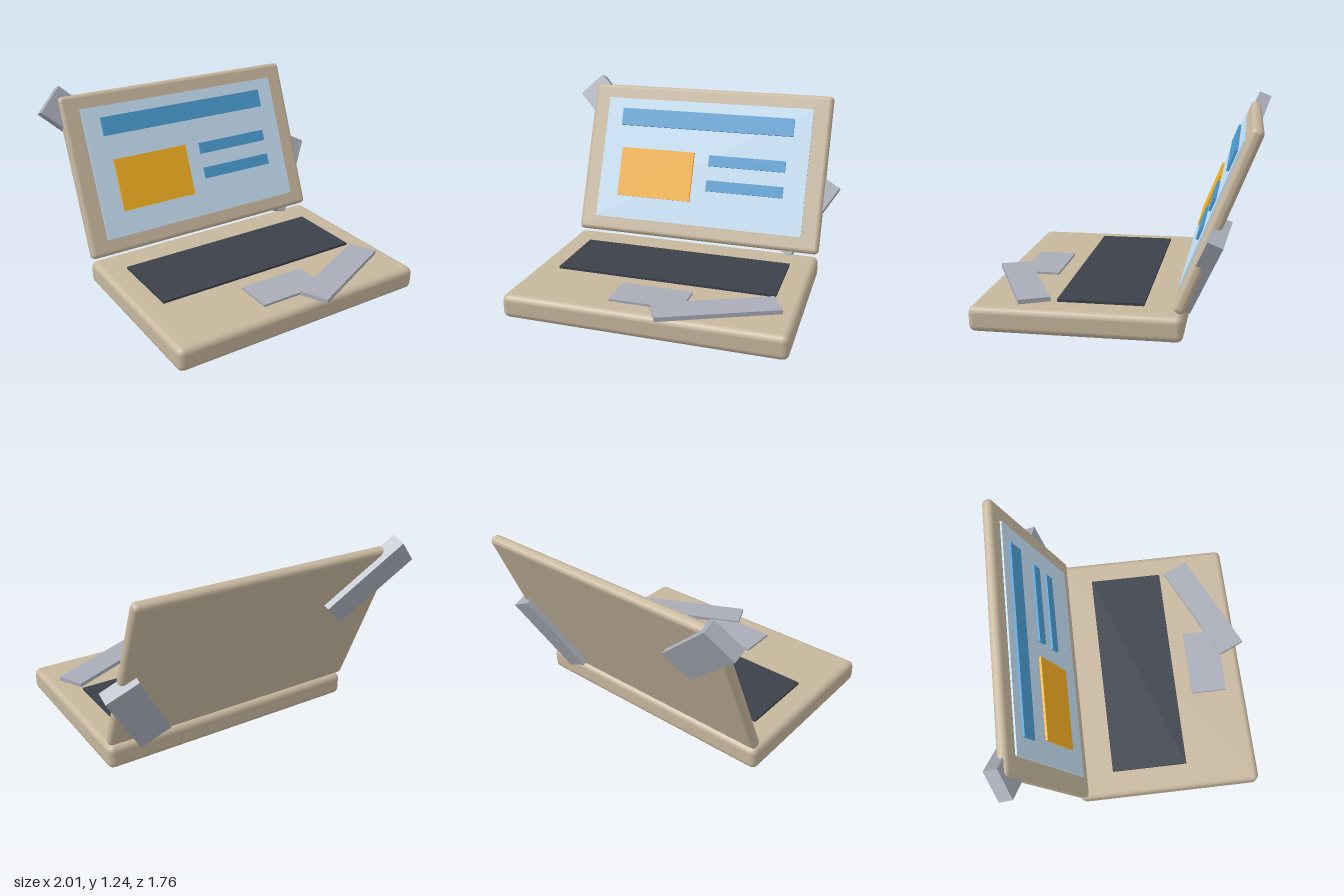
import * as THREE from 'three';
import { RoundedBoxGeometry } from 'three/addons/geometries/RoundedBoxGeometry.js';

const mat = (color) => new THREE.MeshStandardMaterial({ color });

export function createModel() {
  const casing = mat(0xc6b69d), glass = mat(0xc4def2), blue = mat(0x4a9ad0);
  const orange = mat(0xf2ae22), dark = mat(0x3b404a), grey = mat(0xa9adb8);

  // Adds a box-like part at a position, turned about one axis if needed
  const add = (parent, name, geometry, material, x, y, z) => {
    const mesh = new THREE.Mesh(geometry, material);
    mesh.name = name;
    mesh.position.set(x, y, z);
    parent.add(mesh);
    return mesh;
  };
  const box = (w, h, d) => new THREE.BoxGeometry(w, h, d);

  const model = new THREE.Group();
  model.name = 'laptop';
  const body = new THREE.Group();
  body.name = 'body';
  body.position.set(0.08, 0, 0.2);
  body.rotation.y = 0.1;
  model.add(body);

  // Lower half with keyboard, trackpad and a loose strip of tape
  add(body, 'base', new RoundedBoxGeometry(1.74, 0.15, 1.21, 2, 0.04), casing, 0, 0.075, 0);
  add(body, 'keyboard', box(1.42, 0.03, 0.5), dark, 0, 0.15, -0.123);
  add(body, 'trackpad', box(0.447, 0.03, 0.24), grey, 0, 0.15, 0.358);
  add(body, 'baseTape', box(0.74, 0.027, 0.185), grey, 0.412, 0.1625, 0.406).rotation.y = 0.44;

  // Lid leaning back; its parts are laid out in the lid's own plane
  const lid = new THREE.Group();
  lid.name = 'lid';
  lid.position.set(0, 0.67, -0.774);
  lid.rotation.x = -0.384;
  body.add(lid);
  add(lid, 'lidShell', new RoundedBoxGeometry(1.74, 1.08, 0.07, 2, 0.03), casing, 0, 0, 0);
  add(lid, 'screen', box(1.49, 0.875, 0.02), glass, 0, 0, 0.037);

  // Raised blocks on the screen
  add(lid, 'headerBar', box(1.25, 0.124, 0.025), blue, 0, 0.3, 0.05);
  add(lid, 'pictureBlock', box(0.54, 0.35, 0.025), orange, -0.325, -0.1, 0.05);
  for (const y of [0.027, -0.15]) {
    add(lid, 'textBar', box(0.54, 0.077, 0.025), blue, 0.325, y, 0.05);
  }

  // Thick tape strips across the lid's edges
  for (const [name, x, y, angle] of [
    ['upperTape', -0.712, 0.332, -0.785],
    ['lowerTape', 0.73, -0.275, 1.045],
  ]) {
    add(lid, name, box(0.575, 0.213, 0.088), grey, x, y, -0.029).rotation.z = angle;
  }

  return model;
}
